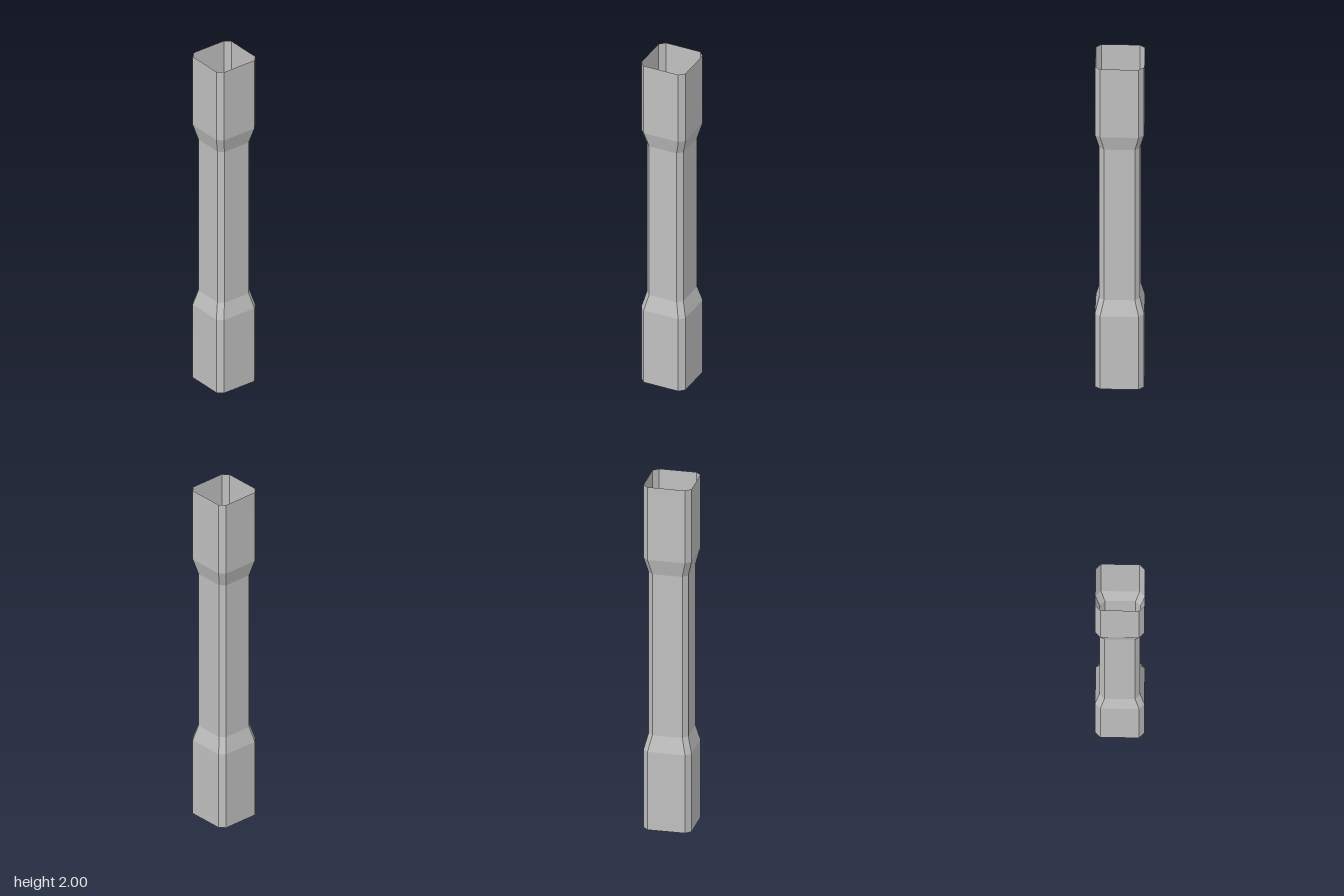
import * as THREE from 'three';

// Square ring with chamfered corners, ordered so that faces point outward
function ring(half, flat, y) {
  return [
    [half, flat], [half, -flat], [flat, -half], [-flat, -half],
    [-half, -flat], [-half, flat], [-flat, half], [flat, half],
  ].map(([x, z]) => [x, y, z]);
}

// Open skin between two rings
function tubeSection(name, lower, upper, material) {
  const positions = [];
  for (let i = 0; i < lower.length; i++) {
    const j = (i + 1) % lower.length;
    positions.push(...lower[i], ...lower[j], ...upper[j]);
    positions.push(...lower[i], ...upper[j], ...upper[i]);
  }
  const geometry = new THREE.BufferGeometry();
  geometry.setAttribute('position', new THREE.Float32BufferAttribute(positions, 3));
  geometry.computeVertexNormals();
  const mesh = new THREE.Mesh(geometry, material);
  mesh.name = name;
  return mesh;
}

export function createModel() {
  const group = new THREE.Group();
  group.name = 'hollowColumn';
  const grey = new THREE.MeshStandardMaterial({
    name: 'light grey', color: 0xc0c0c0, flatShading: true, side: THREE.DoubleSide,
  });

  const wide = [0.133, 0.104];
  const narrow = [0.11, 0.083];
  const rings = [
    ring(...wide, 0), ring(...wide, 0.455), ring(...narrow, 0.545),
    ring(...narrow, 1.485), ring(...wide, 1.575), ring(...wide, 2),
  ];

  // Wide ends, tapered collars and a narrow shaft, open at both ends
  const names = ['base', 'lowerCollar', 'shaft', 'upperCollar', 'top'];
  names.forEach((name, i) => group.add(tubeSection(name, rings[i], rings[i + 1], grey)));
  return group;
}
